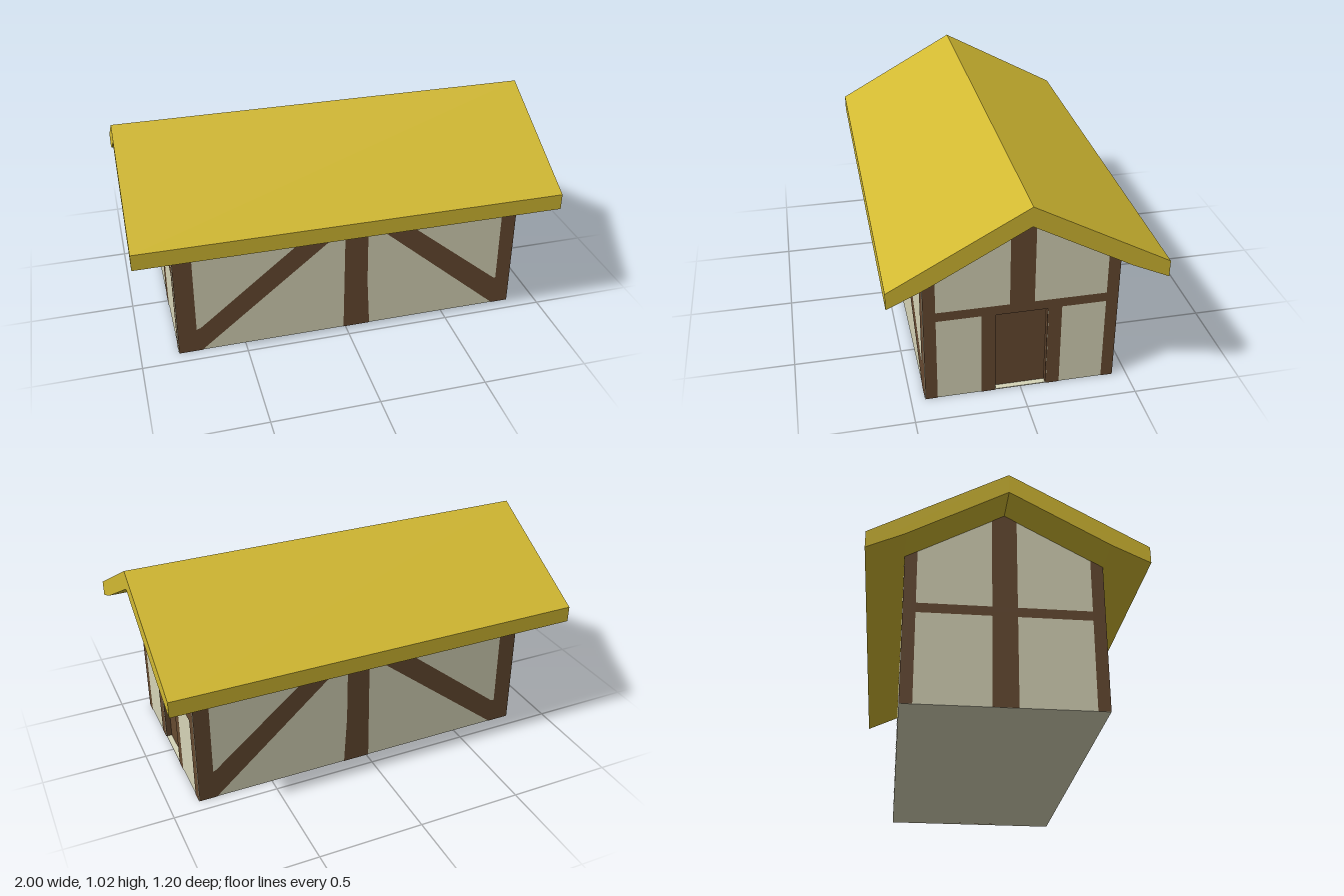
import * as THREE from 'three';

export function createModel() {
  const model = new THREE.Group();
  const mat = (name, color) => Object.assign(new THREE.MeshStandardMaterial({ color }), { name });
  const plaster = mat('plaster', 0xd6d4b7);
  const wood = mat('wood', 0x664a31);
  const thatch = mat('thatch', 0xd2b932);

  const X0 = -0.82, X1 = 0.86, HALF = 0.435, EAVE = 0.69, PEAK = 0.93;
  const RECESS = 0.03, DOOR_W = 0.12, DOOR_H = 0.42, PROUD = 0.002;

  const toShape = (pts) => new THREE.Shape(pts.map(([x, y]) => new THREE.Vector2(x, y)));
  const rect = (a, b, c, d) => [[a, c], [b, c], [b, d], [a, d]];
  const mirror = (polys) => polys.map((p) => p.map(([x, y]) => [-x, y]));

  // Extrudes a gable cross-section along x
  function prism(name, pts, from, to, material) {
    const g = new THREE.ExtrudeGeometry(toShape(pts), { depth: to - from, bevelEnabled: false });
    g.rotateY(Math.PI / 2).translate(from, 0, 0);
    const mesh = new THREE.Mesh(g, material);
    mesh.name = name;
    model.add(mesh);
  }

  // Flat timbers painted on one wall
  function timbers(name, polys, angle, x, z) {
    const mesh = new THREE.Mesh(new THREE.ShapeGeometry(polys.map(toShape)), wood);
    mesh.name = name;
    mesh.rotation.y = angle;
    mesh.position.set(x, 0, z);
    model.add(mesh);
  }

  function box(name, w, h, d, x, y, z, material) {
    const mesh = new THREE.Mesh(new THREE.BoxGeometry(w, h, d), material);
    mesh.name = name;
    mesh.position.set(x, y, z);
    model.add(mesh);
  }

  // Plaster house, with a doorway notched into the end wall
  const gable = [[HALF, EAVE + 0.003], [0, PEAK + 0.003], [-HALF, EAVE + 0.003]];
  prism('house', [[-HALF, 0], [HALF, 0], ...gable], X0, X1 - RECESS, plaster);
  prism('doorWall', [
    [-HALF, 0], [-DOOR_W, 0], [-DOOR_W, DOOR_H], [DOOR_W, DOOR_H], [DOOR_W, 0], [HALF, 0], ...gable,
  ], X1 - RECESS, X1, plaster);

  // Recessed door, its lining and sill
  const mid = X1 - RECESS / 2;
  box('door', 0.004, DOOR_H, DOOR_W * 2, X1 - RECESS + 0.002, DOOR_H / 2, 0, wood);
  for (const s of [-1, 1]) box('doorJamb', RECESS, DOOR_H, 0.004, mid, DOOR_H / 2, s * (DOOR_W - 0.002), wood);
  box('doorHead', RECESS, 0.004, DOOR_W * 2, mid, DOOR_H - 0.002, 0, wood);
  box('doorSill', RECESS, 0.004, DOOR_W * 2, mid, 0.002, 0, plaster);

  // Long walls: posts and two braces rising to the middle post
  const longWall = [
    rect(X0, -0.73, 0, EAVE),
    rect(0.785, X1, 0, EAVE),
    [[-0.01, 0], [0.122, 0], [0.108, 0.25], [0.105, EAVE], [-0.005, EAVE]],
    [[-0.74, 0], [-0.71, 0], [0, 0.575], [0.02, EAVE], [-0.02, EAVE], [-0.71, 0.13], [-0.74, 0.12]],
    [[0.8, 0], [0.775, 0], [0.13, 0.565], [0.1, 0.575], [0.1, EAVE], [0.125, EAVE], [0.77, 0.155], [0.8, 0.14]],
  ];
  timbers('frontTimbers', longWall, 0, 0, HALF + PROUD);
  timbers('backTimbers', mirror(longWall), Math.PI, 0, -HALF - PROUD);

  // End walls: corner posts, cross beam and king post
  const corner = [[0.38, 0], [HALF, 0], [HALF, EAVE], [0.38, 0.72]];
  const frame = [corner, ...mirror([corner]), rect(-0.39, 0.39, DOOR_H, 0.465)];
  const kingPost = (y) => [[-0.055, y], [0.055, y], [0.055, 0.9], [0, PEAK], [-0.055, 0.9]];
  timbers('doorEndTimbers', [
    ...frame, kingPost(0.46), rect(-0.18, -DOOR_W, 0, DOOR_H), rect(DOOR_W, 0.18, 0, DOOR_H),
  ], Math.PI / 2, X1 + PROUD, 0);
  timbers('plainEndTimbers', [...frame, kingPost(0)], -Math.PI / 2, X0 - PROUD, 0);

  // Thick overhanging roof
  prism('roof', [
    [0, 1.02], [-0.6, 0.69], [-0.6, 0.613], [-HALF, EAVE], [0, PEAK], [HALF, EAVE], [0.6, 0.613], [0.6, 0.69],
  ], -1, 1, thatch);

  return model;
}
